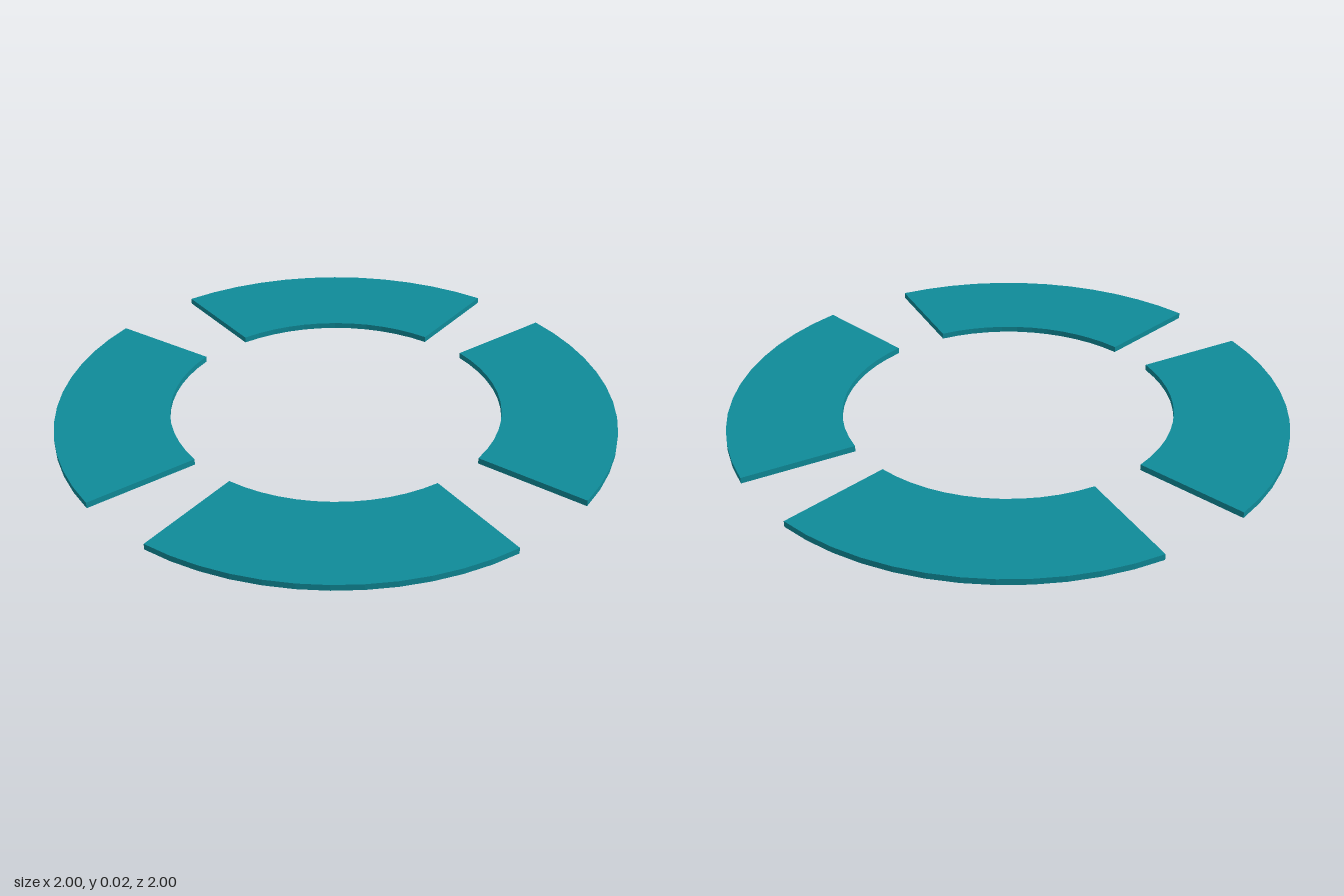
import * as THREE from 'three';

const INNER = 0.6, OUTER = 1.01, THICKNESS = 0.022;

// Flat ring sector between two angles (degrees, counterclockwise from +x seen from above)
function sectorGeometry(startDeg, endDeg) {
  const a = THREE.MathUtils.degToRad(startDeg);
  const b = THREE.MathUtils.degToRad(endDeg);
  const shape = new THREE.Shape();
  shape.absarc(0, 0, OUTER, a, b, false);
  shape.absarc(0, 0, INNER, b, a, true);
  shape.closePath();
  const geometry = new THREE.ExtrudeGeometry(shape, {
    depth: THICKNESS, bevelEnabled: false, curveSegments: 6,
  });
  return geometry.rotateX(-Math.PI / 2);
}

export function createModel() {
  const group = new THREE.Group();
  group.name = 'segmentedRing';
  const material = new THREE.MeshStandardMaterial({ color: 0x0f8b99, flatShading: true });

  // Four slightly uneven sectors with gaps on the axes
  const sectors = [
    ['backLeftSector', 9.5, 82.3],
    ['backRightSector', 99.4, 172.2],
    ['frontRightSector', 192, 262.3],
    ['frontLeftSector', 279.4, 349.7],
  ];
  for (const [name, start, end] of sectors) {
    const mesh = new THREE.Mesh(sectorGeometry(start, end), material);
    mesh.name = name;
    group.add(mesh);
  }
  return group;
}
